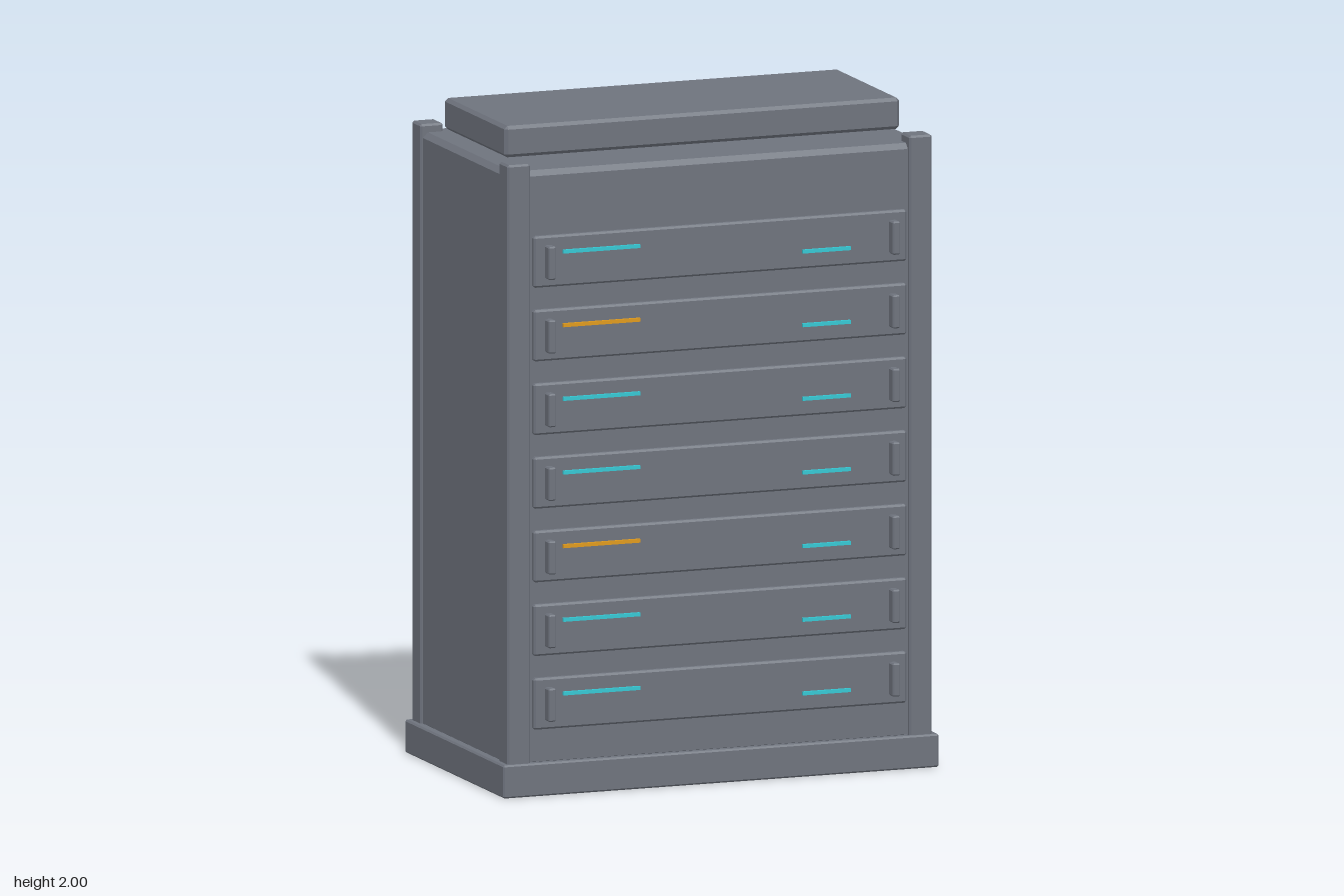
import * as THREE from 'three';
import { ConvexGeometry } from 'three/addons/geometries/ConvexGeometry.js';

// Box with chamfered edges: each corner becomes three points.
function chamferBox(w, h, d, c) {
  const points = [];
  for (const sx of [-1, 1]) for (const sy of [-1, 1]) for (const sz of [-1, 1]) {
    const x = w / 2, y = h / 2, z = d / 2;
    points.push(
      new THREE.Vector3(sx * x, sy * (y - c), sz * (z - c)),
      new THREE.Vector3(sx * (x - c), sy * y, sz * (z - c)),
      new THREE.Vector3(sx * (x - c), sy * (y - c), sz * z));
  }
  return new ConvexGeometry(points);
}

export function createModel() {
  const paint = (name, color) => {
    const m = new THREE.MeshStandardMaterial({ color });
    m.name = name;
    return m;
  };
  const metal = paint('grey metal', 0x6e737d);
  const cyan = paint('cyan light', 0x35c8d4);
  const amber = paint('amber light', 0xe09a1a);

  const model = new THREE.Group();
  model.name = 'rackCabinet';
  const add = (parent, name, geometry, material, x, y, z) => {
    const mesh = new THREE.Mesh(geometry, material);
    mesh.name = name;
    mesh.position.set(x, y, z);
    parent.add(mesh);
  };

  // Plinth, cabinet body and raised lid
  add(model, 'base', chamferBox(1.39, 0.1, 0.8, 0.005), metal, 0, 0.05, 0);
  add(model, 'body', chamferBox(1.34, 1.8, 0.75, 0.016), metal, 0, 0.985, 0);
  add(model, 'topCap', chamferBox(1.26, 0.095, 0.5, 0.01), metal, 0, 1.9525, 0);

  // Corner posts
  const post = chamferBox(0.073, 1.82, 0.073, 0.006);
  for (const sx of [-1, 1]) for (const sz of [-1, 1])
    add(model, 'cornerPost', post, metal, sx * 0.641, 1.0, sz * 0.353);

  // Seven units on both the front and the back
  const panel = chamferBox(1.19, 0.155, 0.04, 0.006);
  const handle = chamferBox(0.024, 0.1, 0.04, 0.004);
  const longLight = new THREE.BoxGeometry(0.245, 0.011, 0.009);
  const shortLight = new THREE.BoxGeometry(0.153, 0.011, 0.009);
  for (const sz of [-1, 1]) {
    for (let i = 0; i < 7; i++) {
      const unit = new THREE.Group();
      unit.name = sz > 0 ? 'frontUnit' : 'backUnit';
      unit.position.y = 0.277 + i * 0.2225;
      add(unit, 'panel', panel, metal, 0, 0, sz * 0.373);
      for (const sx of [-1, 1])
        add(unit, 'handle', handle, metal, sx * 0.549, 0, sz * 0.407);
      add(unit, 'longLight', longLight, i === 2 || i === 5 ? amber : cyan, -0.382, 0.028, sz * 0.3975);
      add(unit, 'shortLight', shortLight, cyan, 0.336, -0.025, sz * 0.3975);
      model.add(unit);
    }
  }
  return model;
}
